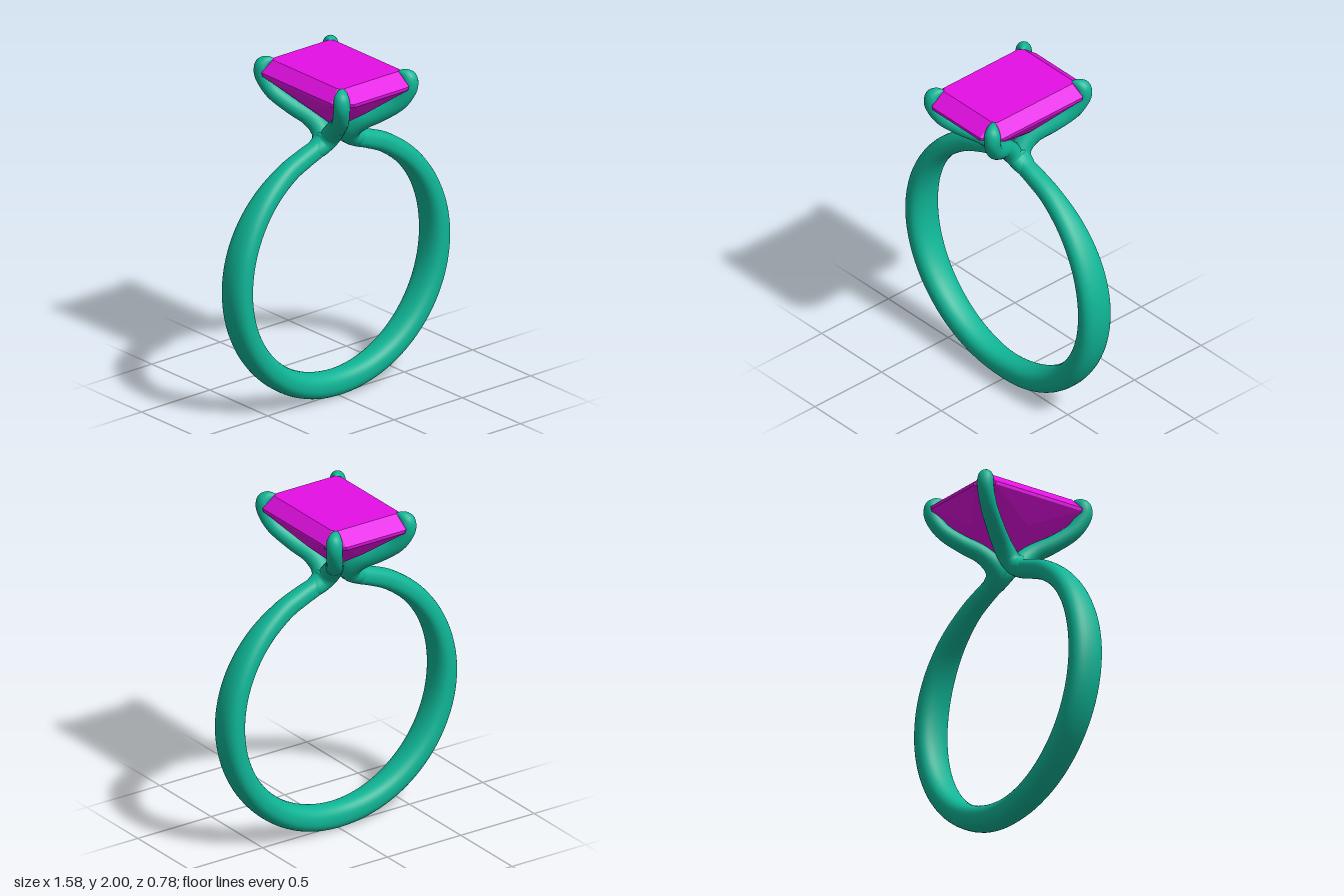
import * as THREE from 'three';
import { ConvexGeometry } from 'three/addons/geometries/ConvexGeometry.js';

const metal = new THREE.MeshStandardMaterial({ color: 0x0fb596 });
const gem = new THREE.MeshStandardMaterial({ color: 0xe40fe4, flatShading: true });

// Sweep a rounded section along smooth stations [x, y, z, radius in plane, radius across].
// power below 1 makes the section squarer.
function sweep(stations, steps, sides, power = 1) {
  const smooth = (list) => new THREE.CatmullRomCurve3(list, false, 'catmullrom', 0.5);
  const path = smooth(stations.map((s) => new THREE.Vector3(s[0], s[1], s[2])));
  const size = smooth(stations.map((s) => new THREE.Vector3(s[3], s[4] ?? s[3], 0)));
  const zAxis = new THREE.Vector3(0, 0, 1);
  const bend = (v) => Math.sign(v) * Math.abs(v) ** power;
  const position = [], index = [];
  for (let i = 0; i <= steps; i++) {
    const u = i / steps;
    const c = path.getPoint(u), r = size.getPoint(u), t = path.getTangent(u);
    const n = new THREE.Vector3().crossVectors(zAxis, t).normalize();
    const b = new THREE.Vector3().crossVectors(t, n);
    for (let j = 0; j < sides; j++) {
      const a = (j / sides) * Math.PI * 2;
      const p = c.clone()
        .addScaledVector(n, bend(Math.cos(a)) * Math.max(r.x, 0))
        .addScaledVector(b, bend(Math.sin(a)) * Math.max(r.y, 0));
      position.push(p.x, p.y, p.z);
      if (i < steps) {
        const k = i * sides + j, l = i * sides + ((j + 1) % sides);
        index.push(k, l, k + sides, l, l + sides, k + sides);
      }
    }
  }
  const g = new THREE.BufferGeometry();
  g.setAttribute('position', new THREE.Float32BufferAttribute(position, 3));
  g.setIndex(index);
  g.computeVertexNormals();
  return g;
}

function add(group, name, geometry, material) {
  const mesh = new THREE.Mesh(geometry, material);
  mesh.name = name;
  group.add(mesh);
}

// Band: circle from the bottom up one side, then curling up into the neck; mirrored
function bandGeometry() {
  const half = [];
  for (let deg = 0; deg <= 150; deg += 15) {
    const a = THREE.MathUtils.degToRad(deg);
    const thick = deg < 90 ? 0.075 - 0.007 * (deg / 90) : 0.068 - 0.011 * ((deg - 90) / 60);
    const wide = deg < 90
      ? 0.072 + 0.028 * Math.sin(a)
      : 0.06 + 0.04 * Math.cos(((deg - 90) / 60) * Math.PI / 2);
    half.push([0.722 * Math.sin(a), 0.8 - 0.722 * Math.cos(a), 0, thick, wide]);
  }
  half.push(
    [0.23, 1.485, 0, 0.054, 0.055],
    [0.15, 1.515, 0, 0.053, 0.052],
    [0.092, 1.553, 0, 0.054, 0.052],
    [0.07, 1.6, 0, 0.052, 0.055],
    [0.075, 1.64, 0, 0, 0]
  );
  const other = half.slice(1).reverse().map(([x, ...rest]) => [-x, ...rest]);
  return sweep([...other, ...half], 220, 32, 0.85);
}

// Prong: leaves the band, sweeps out to a stone corner and ends in a pointed claw
function prongGeometry(sx, sz) {
  const stations = [
    [0.2, 1.495, 0.0, 0.03],
    [0.145, 1.517, 0.008, 0.05],
    [0.09, 1.552, 0.018, 0.055],
    [0.07, 1.605, 0.05, 0.058],
    [0.093, 1.665, 0.115, 0.054],
    [0.15, 1.72, 0.2, 0.05],
    [0.212, 1.795, 0.29, 0.047],
    [0.246, 1.88, 0.338, 0.046],
    [0.25, 1.938, 0.342, 0.046],
    [0.239, 1.964, 0.33, 0.038],
    [0.22, 1.979, 0.31, 0.022],
    [0.199, 1.983, 0.288, 0]
  ];
  return sweep(stations.map(([x, y, z, r]) => [x * sx, y, z * sz, r]), 72, 20);
}

// Stone: cut-corner rectangle with a bevelled crown and a pointed pavilion
function stoneGeometry() {
  const points = [new THREE.Vector3(0, 1.61, 0)];
  const octagon = (y, x, z, cut) => {
    for (const sx of [-1, 1]) for (const sz of [-1, 1]) {
      points.push(new THREE.Vector3(sx * (x - cut), y, sz * z));
      points.push(new THREE.Vector3(sx * x, y, sz * (z - cut)));
    }
  };
  octagon(1.99, 0.225, 0.302, 0.025);
  octagon(1.922, 0.29, 0.39, 0.09);
  octagon(1.903, 0.288, 0.388, 0.09);
  for (const s of [-1, 1]) {
    points.push(new THREE.Vector3(0, 1.77, s * 0.25));
    points.push(new THREE.Vector3(s * 0.185, 1.77, 0));
  }
  return new ConvexGeometry(points);
}

export function createModel() {
  const ring = new THREE.Group();
  ring.name = 'ring';
  add(ring, 'band', bandGeometry(), metal);
  for (const [sx, side] of [[1, 'Left'], [-1, 'Right']])
    for (const [sz, end] of [[1, 'front'], [-1, 'back']])
      add(ring, `${end}${side}Prong`, prongGeometry(sx, sz), metal);
  add(ring, 'stone', stoneGeometry(), gem);
  return ring;
}
